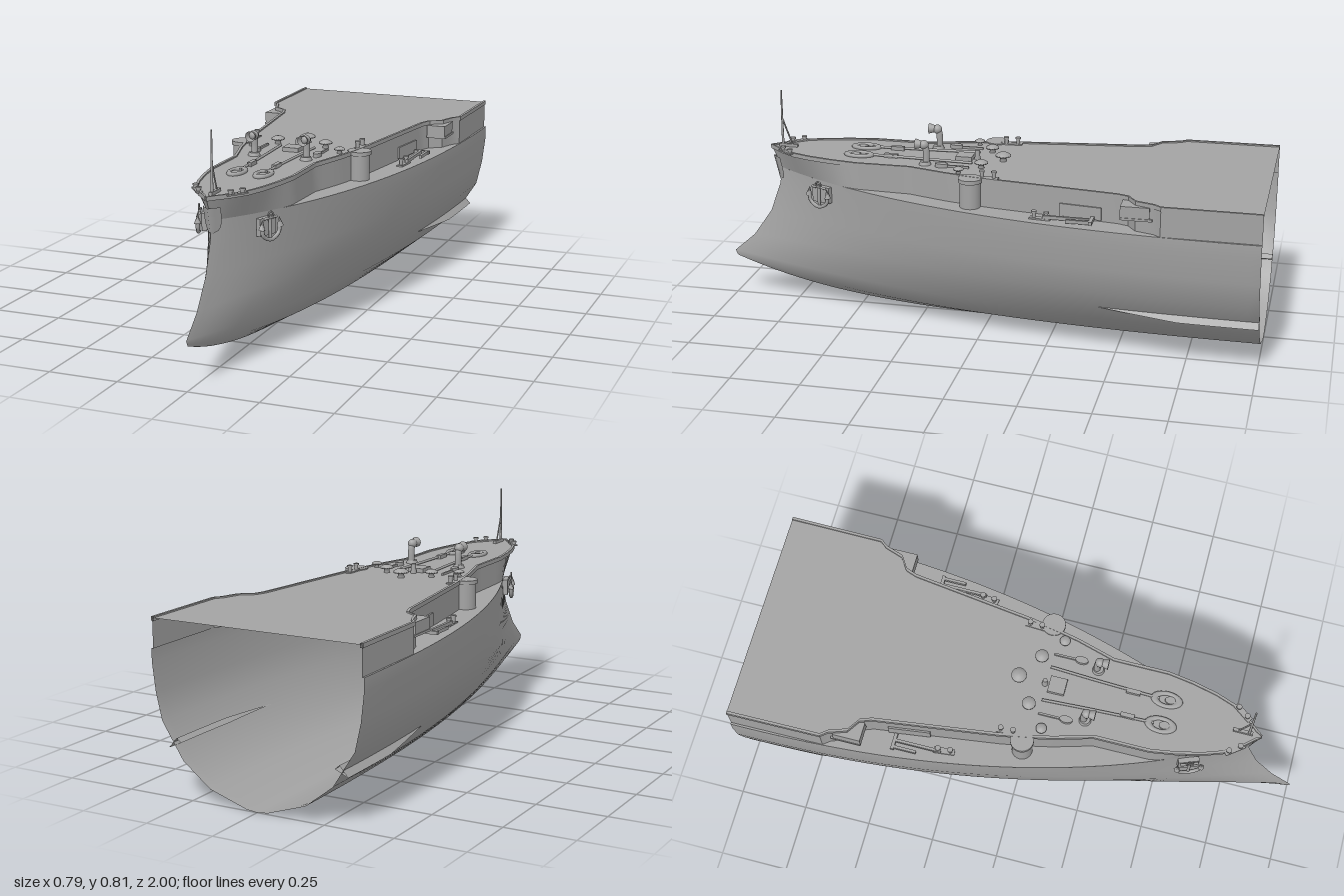
import * as THREE from 'three';
import { toCreasedNormals } from 'three/addons/utils/BufferGeometryUtils.js';

const V = (x, y, z) => new THREE.Vector3(x, y, z);
const DECK = 0.597;

// Hull levels: x and y at the open end, z and y at the stem, waterline powers p and q
const LEVELS = [
  [0, 0, 0.985, 0.148, 2.2, 1.3],
  [0.04, 0.004, 0.99, 0.15, 2.2, 1.3],
  [0.18, 0.05, 0.995, 0.157, 2.2, 1.3],
  [0.283, 0.13, 1, 0.17, 2.2, 1.25],
  [0.363, 0.255, 0.92, 0.24, 2.25, 1.15],
  [0.385, 0.35, 0.85, 0.34, 2.3, 1.05],
  [0.397, 0.45, 0.81, 0.45, 2.3, 0.96],
  [0.397, 0.495, 0.8, 0.515, 2.3, 0.92],
];
// Deck edge as z, x, including the side recess
const EDGE = [[-1, 0.39], [-0.66, 0.387], [-0.635, 0.367], [-0.57, 0.345], [-0.54, 0.3], [-0.5, 0.285],
  [-0.05, 0.225], [0.06, 0.205], [0.13, 0.19], [0.27, 0.15], [0.47, 0.15], [0.56, 0.136],
  [0.65, 0.115], [0.72, 0.09], [0.78, 0.05], [0.815, 0.018], [0.838, 0]];

// Point on a hull level at fraction u of its length
function hullPoint([x, y, zs, ys, p, q], u) {
  return V(x * Math.pow(Math.max(0, 1 - Math.pow(u, p)), q), y + (ys - y) * Math.pow(u, 5), -1 + u * (zs + 1));
}
const shelf = (z) => hullPoint(LEVELS[7], Math.min(1, (z + 1) / 1.8));

// Surface through rows of points
function grid(rows, crease = 0) {
  const w = rows[0].length, pos = [], idx = [];
  rows.forEach((r) => r.forEach((v) => pos.push(v.x, v.y, v.z)));
  for (let i = 0; i < rows.length - 1; i++) for (let j = 0; j < w - 1; j++) {
    const a = i * w + j, b = a + w;
    idx.push(a, a + 1, b, b, a + 1, b + 1);
  }
  const g = new THREE.BufferGeometry();
  g.setAttribute('position', new THREE.Float32BufferAttribute(pos, 3));
  g.setIndex(idx);
  g.computeVertexNormals();
  return crease ? toCreasedNormals(g, crease) : g;
}

export function createModel() {
  const model = new THREE.Group();
  const grey = new THREE.MeshStandardMaterial({ color: 0xa3a3a3, side: THREE.DoubleSide });
  grey.name = 'hull grey';

  function add(name, geo, x = 0, y = 0, z = 0, parent = model) {
    const m = new THREE.Mesh(geo, grey);
    m.name = name;
    m.position.set(x, y, z);
    parent.add(m);
    return m;
  }
  const box = (name, w, h, d, x, y, z, parent) => add(name, new THREE.BoxGeometry(w, h, d), x, y, z, parent);
  const cyl = (name, r1, r2, h, x, y, z, parent, n = 16) =>
    add(name, new THREE.CylinderGeometry(r1, r2, h, n), x, y + h / 2, z, parent);
  const tube = (name, pts, r, parent, n = 6) =>
    add(name, new THREE.TubeGeometry(new THREE.CatmullRomCurve3(pts), 16, r, n), 0, 0, 0, parent);

  // Lower hull, open at the back
  const rows = [];
  for (let i = 0; i <= 50; i++) {
    const half = LEVELS.map((l) => hullPoint(l, i / 50));
    rows.push([...half.slice(1).reverse().map((v) => V(-v.x, v.y, v.z)), ...half]);
  }
  add('hull', grid(rows));

  // Deck edge, with extra points on the long runs
  const edge = [];
  EDGE.forEach(([z, x], i) => {
    if (i) {
      const [z0, x0] = EDGE[i - 1], n = Math.ceil((z - z0) / 0.04);
      for (let k = 1; k < n; k++) edge.push([z0 + (z - z0) * k / n, x0 + (x - x0) * k / n]);
    }
    edge.push([z, x]);
  });
  add('deck', grid(edge.map(([z, x]) => [V(x, DECK, z), V(-x, DECK, z)])));

  const mushroom = [[0.011, 0], [0.009, 0.014], [0.024, 0.016], [0.024, 0.021], [0.012, 0.028], [0, 0.029]]
    .map(([r, y]) => new THREE.Vector2(r, y));
  const vent = (x, z, k = 1) =>
    add('mushroomVent', new THREE.LatheGeometry(mushroom, 16), x, DECK, z).scale.setScalar(k);

  for (const s of [1, -1]) {
    // Upper sides, side shelf and raised deck rim
    add('upperSide', grid(edge.map(([z, x]) => {
      const h = shelf(z);
      return [V(s * x, DECK, z), V(s * Math.min(x, h.x), h.y, Math.min(z, 0.8))];
    }), 0.5));
    add('sideShelf', grid(edge.map(([z, x]) => {
      const h = shelf(z);
      return [V(s * Math.min(x, h.x), h.y, h.z), V(s * h.x, h.y, h.z)];
    })));
    add('deckRim', grid(edge.map(([z, x]) => [[4, 0.587], [4, 0.602], [-6, 0.602], [-6, 0.587], [4, 0.587]]
      .map(([d, y]) => V(s * Math.max(0, x + d / 1000), y, z))), 0.5));

    // Bilge keel: thin tapered blade
    const blade = [];
    for (let i = 0; i <= 10; i++) {
      const u = i * 0.028, k = Math.min(1, (10 - i) / 5);
      const a = hullPoint(LEVELS[3], u), b = hullPoint(LEVELS[4], u);
      const c = a.lerp(b, 0.45), z = -1 + u * 2;
      const at = (x, y) => V(s * (c.x + x * k), c.y + y * k, z);
      blade.push([at(-0.028, 0.004), at(0.02, -0.018), at(-0.012, 0.018), at(-0.028, 0.004)]);
    }
    add('bilgeKeel', grid(blade, 0.5));

    // Gun casemate at the back of the recess
    box('casemate', 0.07, 0.042, 0.1, s * 0.335, 0.567, -0.57);
    box('casemateLedge', 0.075, 0.008, 0.11, s * 0.335, 0.544, -0.575);

    // Round sponson beside the deck
    cyl('sponson', 0.037, 0.037, 0.1, s * 0.225, 0.495, 0.03, model, 24);
    cyl('sponsonCap', 0.042, 0.042, 0.014, s * 0.225, 0.587, 0.03, model, 24);

    // Davit gear and bollards on the shelf
    box('davitBar', 0.06, 0.012, 0.012, s * 0.315, 0.508, -0.415);
    box('davitArm', 0.01, 0.012, 0.17, s * 0.31, 0.508, -0.33);
    box('davitArm', 0.01, 0.012, 0.08, s * 0.335, 0.508, -0.37);
    box('wallPanel', 0.006, 0.045, 0.15, s * 0.272, 0.523, -0.37).rotation.y = -s * 0.13;

    // Paired bollards
    for (const [x, y, z, a] of [[0.205, DECK, -0.03, 0.05], [0.302, 0.497, -0.235, 0.1], [0.07, DECK, 0.755, 0.65]]) {
      const g = new THREE.Group();
      g.name = 'bollards';
      g.position.set(s * x, y, z);
      g.rotation.y = -s * a;
      model.add(g);
      const h = x < 0.1 ? 0.012 : 0.022;
      box('bollardBase', 0.022, 0.005, 0.075, 0, 0.002, 0, g);
      for (const d of [-0.022, 0.022]) {
        cyl('bollardPost', 0.007, 0.007, h, 0, 0, d, g, 10);
        cyl('bollardCap', 0.01, 0.01, 0.006, 0, h, d, g, 10);
      }
    }

    vent(s * 0.092, 0.02);
    vent(s * 0.17, 0.085, 0.8);

    // Cowl ventilator facing forward
    cyl('cowlBase', 0.018, 0.022, 0.012, s * 0.098, DECK, 0.225);
    tube('cowlPipe', [V(s * 0.098, 0.6, 0.22), V(s * 0.098, 0.64, 0.22), V(s * 0.098, 0.662, 0.224), V(s * 0.098, 0.67, 0.24)], 0.012, model, 12);
    const mouth = add('cowlMouth', new THREE.CylinderGeometry(0.019, 0.012, 0.025, 16, 1, true), s * 0.098, 0.671, 0.247);
    mouth.rotation.x = Math.PI / 2;
    add('cowlHood', new THREE.SphereGeometry(0.017, 14, 10), s * 0.098, 0.67, 0.228);

    // Anchor chain, stoppers, windlass and hawse pipe
    tube('anchorChain', [V(s * 0.064, 0.603, 0.06), V(s * 0.055, 0.603, 0.24), V(s * 0.047, 0.603, 0.46)], 0.005);
    box('chainStopper', 0.016, 0.014, 0.05, s * 0.046, 0.604, 0.365);
    box('chainRod', 0.007, 0.008, 0.1, s * 0.115, 0.602, 0.11);
    const stop = cyl('slipHook', 0.013, 0.013, 0.014, s * 0.115, DECK, 0.16);
    stop.scale.z = 1.8;
    const hawse = add('hawsePipe', new THREE.TorusGeometry(0.024, 0.008, 8, 24), s * 0.048, 0.601, 0.485);
    hawse.rotation.x = Math.PI / 2;
    hawse.scale.y = 1.8;
    const lid = cyl('hawseLid', 0.014, 0.014, 0.008, s * 0.048, DECK, 0.5);
    lid.scale.z = 1.5;

    // Stowed bow anchor
    const anchor = new THREE.Group();
    anchor.name = 'anchor';
    anchor.position.set(s * 0.122, 0.455, 0.615);
    anchor.rotation.set(0, s * 1.2, 0);
    model.add(anchor);
    box('anchorBed', 0.075, 0.06, 0.018, 0, 0.005, -0.012, anchor);
    tube('anchorShank', [V(0, 0.045, 0.004), V(0, 0, 0.006), V(0, -0.034, 0.006)], 0.006, anchor);
    tube('anchorCrown', [V(-0.042, 0.012, 0.01), V(-0.036, -0.02, 0.01), V(0, -0.037, 0.01), V(0.036, -0.02, 0.01), V(0.042, 0.012, 0.01)], 0.007, anchor);
    for (const d of [-1, 1]) {
      const fluke = add('anchorFluke', new THREE.ConeGeometry(0.012, 0.035, 6), d * 0.041, 0.018, 0.01, anchor);
      fluke.rotation.z = d * 0.15;
    }
    tube('anchorStock', [V(-0.032, 0.034, 0.004), V(0, 0.036, 0.006), V(0.032, 0.034, 0.004)], 0.005, anchor);
    add('anchorRing', new THREE.TorusGeometry(0.011, 0.003, 6, 14), 0, 0.046, 0.008, anchor);
  }

  // Centre deck fittings
  vent(0, -0.04, 1.15);
  box('hatch', 0.06, 0.016, 0.06, 0, 0.604, 0.1);
  cyl('hatchVent', 0.008, 0.011, 0.035, 0, DECK, 0.055);

  // Jackstaff with its stay
  cyl('jackstaff', 0.003, 0.005, 0.213, 0, DECK, 0.792, model, 8);
  tube('jackstaffStay', [V(0, 0.7, 0.79), V(0, 0.65, 0.772), V(0, 0.6, 0.752)], 0.003);
  box('staffFoot', 0.012, 0.012, 0.07, 0, 0.602, 0.77);

  // Shield plate wrapped round the stem
  const shield = [];
  for (let i = 0; i <= 8; i++) {
    const t = i / 8, y = 0.56 - 0.092 * t, w = 0.031 * Math.sqrt(Math.max(0, 1 - Math.pow(t, 4)));
    const z = 0.808 + 0.022 * (1 - t);
    shield.push([-1, -0.5, 0, 0.5, 1].map((k) => V(k * w, y, z - Math.abs(k) * w * 1.1)));
  }
  add('bowShield', grid(shield));
  return model;
}
